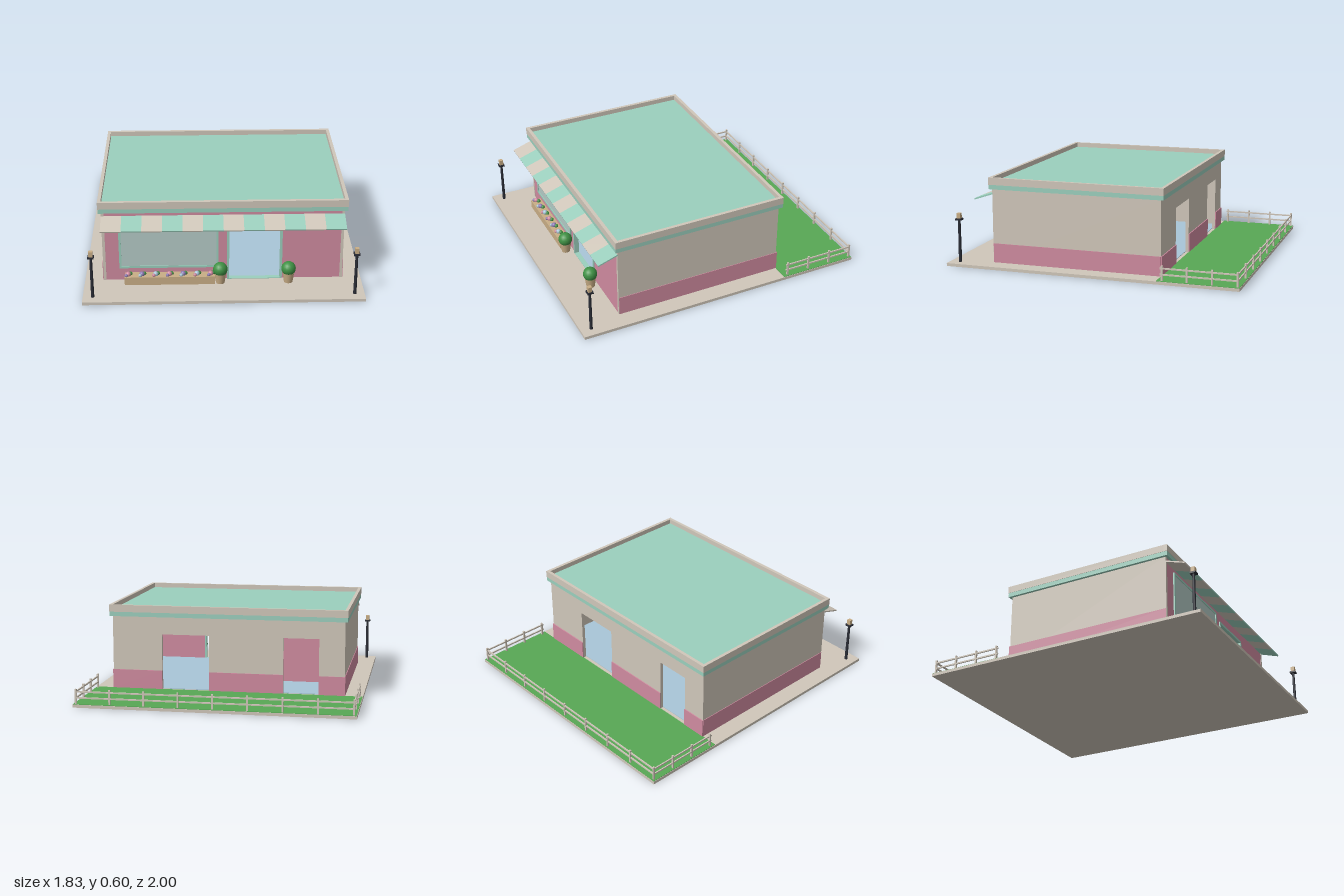
import * as THREE from 'three';

const mat = (name, color) => {
  const m = new THREE.MeshStandardMaterial({ color });
  m.name = name;
  return m;
};

export function createModel() {
  const beige = mat('beige', 0xd0c7ba), teal = mat('teal', 0x9bcfbd), pink = mat('pink', 0xd08ba0);
  const grass = mat('grass', 0x58a855), leaf = mat('leaf', 0x3f9144), glass = mat('glass', 0xb4cac6);
  const blue = mat('paleBlue', 0xa9c6d8), tan = mat('tan', 0xc9ae86), black = mat('black', 0x2a2d36);
  const violet = mat('violet', 0x8d7cb4);

  const model = new THREE.Group();
  model.name = 'shop';
  const group = (name) => {
    const g = new THREE.Group();
    g.name = name;
    model.add(g);
    return g;
  };
  const add = (parent, name, geo, material, x = 0, y = 0, z = 0) => {
    const m = new THREE.Mesh(geo, material);
    m.name = name;
    m.position.set(x, y, z);
    parent.add(m);
    return m;
  };
  // Box given by its lower and upper bounds on each axis
  const box = (parent, name, material, x0, x1, y0, y1, z0, z1) =>
    add(parent, name, new THREE.BoxGeometry(x1 - x0, y1 - y0, z1 - z0), material,
      (x0 + x1) / 2, (y0 + y1) / 2, (z0 + z1) / 2);
  // Wall along x, cut by door openings [left, right, top]
  const wall = (parent, name, material, x0, x1, y0, y1, z0, z1, openings) => {
    let x = x0;
    for (const [l, r, top] of openings) {
      box(parent, name, material, x, l, y0, y1, z0, z1);
      if (top < y1) box(parent, name + 'Lintel', material, l, r, top, y1, z0, z1);
      x = r;
    }
    box(parent, name, material, x, x1, y0, y1, z0, z1);
  };

  // Ground
  const ground = group('ground');
  box(ground, 'pavement', beige, -0.915, 0.915, 0, 0.02, -1, 1);
  box(ground, 'lawn', grass, -0.912, 0.912, 0.015, 0.023, -0.998, -0.46);

  // Walls
  const walls = group('walls');
  const backDoors = [[-0.62, -0.38, 0.4], [0.125, 0.45, 0.4]];
  wall(walls, 'frontWall', pink, -0.775, 0.775, 0.02, 0.525, 0.685, 0.709, [[0.04, 0.38, 0.405]]);
  wall(walls, 'backWall', beige, -0.775, 0.775, 0.02, 0.525, -0.457, -0.435, backDoors);
  wall(walls, 'backBand', pink, -0.795, 0.795, 0.02, 0.15, -0.464, -0.457, backDoors);
  for (const s of [-1, 1]) {
    const side = add(walls, 'sideWall', new THREE.BoxGeometry(0.018, 0.505, 1.168), beige, s * 0.782, 0.2725, 0.127);
    side.position.x = s * 0.783;
    add(walls, 'sideBand', new THREE.BoxGeometry(0.006, 0.13, 1.165), pink, s * 0.793, 0.085, 0.1255);
  }

  // Interior seen through the doorways
  const interior = group('interior');
  box(interior, 'floor', blue, -0.774, 0.774, 0.02, 0.024, -0.434, 0.684);
  box(interior, 'partition', beige, -0.774, 0.12, 0.024, 0.52, -0.06, -0.045);
  box(interior, 'partitionDado', teal, -0.774, 0.12, 0.024, 0.125, -0.045, -0.04);
  box(interior, 'partitionBack', pink, -0.774, 0.12, 0.024, 0.52, -0.066, -0.06);
  box(interior, 'counter', pink, -0.6, -0.08, 0.024, 0.14, 0.08, 0.2);
  box(interior, 'shelf', teal, -0.05, 0.065, 0.182, 0.19, -0.045, 0);
  const disc = (name, r, m, z) => {
    add(interior, name, new THREE.CylinderGeometry(r, r, 0.006, 24), m, 0.015, 0.28, z).rotation.x = Math.PI / 2;
  };
  disc('mirrorRim', 0.06, tan, -0.042);
  disc('mirror', 0.053, blue, -0.039);

  // Roof with a raised parapet
  const roof = group('roof');
  box(roof, 'roofDeck', teal, -0.795, 0.795, 0.52, 0.565, -0.46, 0.712);
  box(roof, 'tealTrim', teal, -0.81, 0.81, 0.52, 0.55, -0.477, 0.729);
  box(roof, 'parapetFront', beige, -0.812, 0.812, 0.55, 0.598, 0.708, 0.731);
  box(roof, 'parapetBack', beige, -0.812, 0.812, 0.55, 0.598, -0.479, -0.457);
  for (const s of [-1, 1])
    add(roof, 'parapetSide', new THREE.BoxGeometry(0.022, 0.048, 1.165), beige, s * 0.801, 0.574, 0.1255);

  // Striped awning
  const awning = group('awning');
  const stripe = 1.584 / 12, tilt = Math.atan2(0.045, 0.135);
  for (let i = 0; i < 12; i++) {
    const m = add(awning, 'awningStripe', new THREE.BoxGeometry(stripe, 0.009, 0.143), i % 2 ? teal : beige,
      -0.792 + (i + 0.5) * stripe, 0.466, 0.775);
    m.rotation.x = tilt;
  }

  // Frames, each a shape with a hole
  const frame = (name, x0, x1, y0, y1, w, bottom) => {
    const rect = (C, a, b, c, d) => {
      const p = new C();
      p.moveTo(a, c); p.lineTo(b, c); p.lineTo(b, d); p.lineTo(a, d); p.closePath();
      return p;
    };
    const s = rect(THREE.Shape, x0, x1, y0, y1);
    s.holes.push(rect(THREE.Path, x0 + w, x1 - w, y0 + bottom, y1 - w));
    add(model, name, new THREE.ExtrudeGeometry(s, { depth: 0.034, bevelEnabled: false }), teal, 0, 0, 0.684);
  };
  frame('windowFrame', -0.685, -0.03, 0.11, 0.457, 0.015, 0.015);
  box(model, 'windowGlass', glass, -0.672, -0.043, 0.122, 0.445, 0.706, 0.713);
  frame('doorFrame', 0.025, 0.39, 0.018, 0.417, 0.015, 0.006);

  // Flower box
  const flowers = group('flowerBox');
  box(flowers, 'planter', tan, -0.65, -0.055, 0.02, 0.076, 0.712, 0.785);
  const petals = [pink, violet, blue];
  for (let i = 0; i < 7; i++) {
    const x = -0.627 + i * 0.0905;
    add(flowers, 'flower', new THREE.SphereGeometry(0.018, 10, 8), petals[i % 3], x, 0.084, 0.752);
    add(flowers, 'foliage', new THREE.SphereGeometry(0.015, 8, 6), leaf, x + 0.014, 0.081, 0.74);
    add(flowers, 'flower', new THREE.SphereGeometry(0.012, 8, 6), petals[(i + 1) % 3], x - 0.012, 0.082, 0.768);
  }

  // Clipped bushes in wooden pots
  for (const x of [-0.02, 0.43]) {
    const bush = group('pottedBush');
    add(bush, 'pot', new THREE.CylinderGeometry(0.039, 0.029, 0.07, 12), tan, x, 0.055, 0.76);
    add(bush, 'bush', new THREE.SphereGeometry(0.048, 16, 12), leaf, x, 0.118, 0.76);
  }

  // Street lamps
  for (const x of [-0.85, 0.85]) {
    const lamp = group('streetLamp');
    add(lamp, 'pole', new THREE.CylinderGeometry(0.009, 0.011, 0.29, 10), black, x, 0.165, 0.93);
    add(lamp, 'collar', new THREE.BoxGeometry(0.04, 0.012, 0.04), black, x, 0.312, 0.93);
    add(lamp, 'lantern', new THREE.BoxGeometry(0.026, 0.036, 0.026), tan, x, 0.336, 0.93);
  }

  // Fence around the lawn
  const fence = group('fence');
  const post = (x, z) => add(fence, 'post', new THREE.BoxGeometry(0.012, 0.1, 0.012), beige, x, 0.07, z);
  for (let i = 0; i < 9; i++) post(-0.896 + i * 0.224, -0.983);
  for (const x of [-0.896, 0.896]) for (let i = 1; i < 4; i++) post(x, -0.983 + i * 0.163);
  for (const y of [0.062, 0.102]) {
    box(fence, 'backRail', beige, -0.896, 0.896, y - 0.005, y + 0.005, -0.987, -0.979);
    for (const x of [-0.896, 0.896])
      box(fence, 'sideRail', beige, x - 0.004, x + 0.004, y - 0.005, y + 0.005, -0.983, -0.48);
  }
  return model;
}
